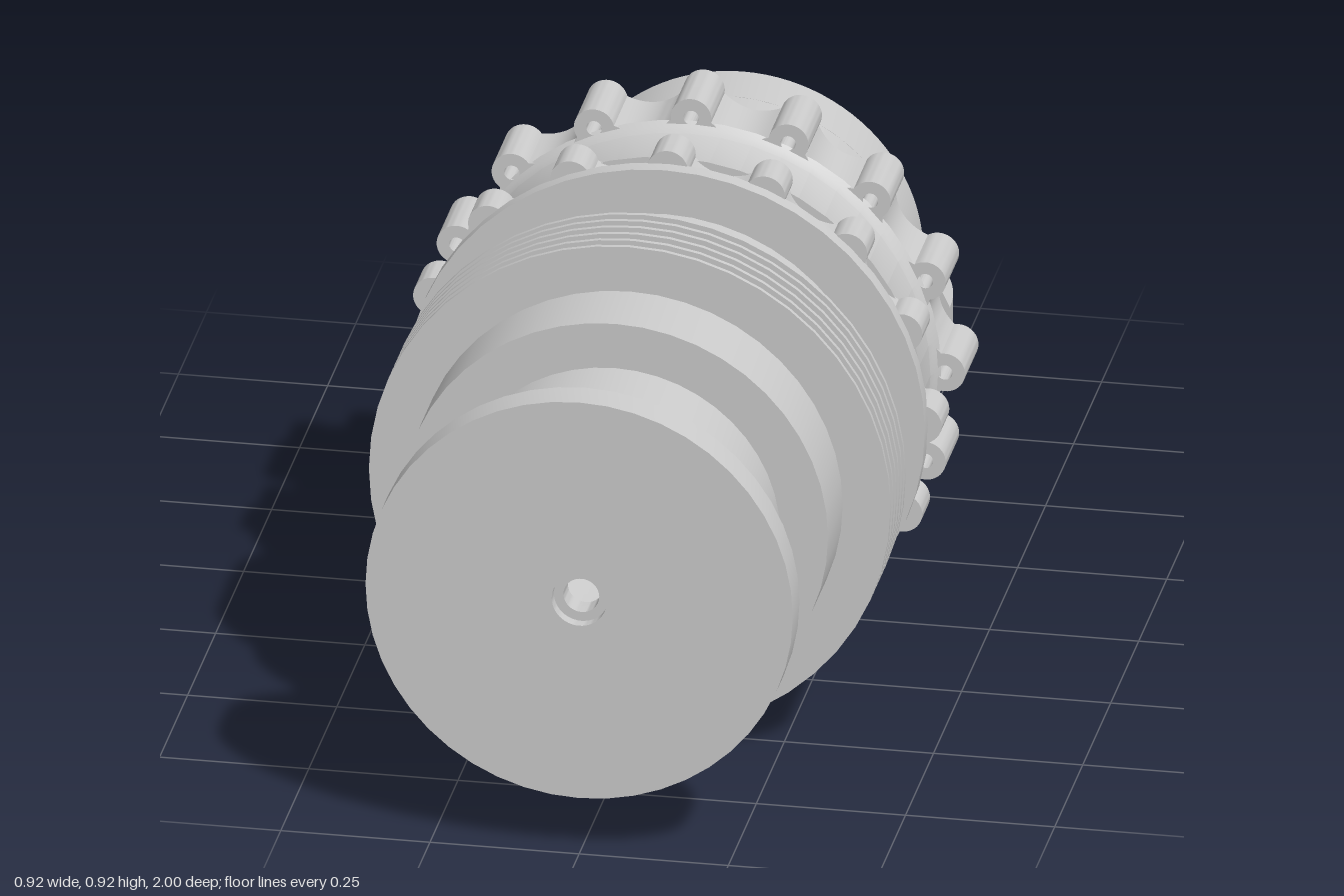
import * as THREE from 'three';
import { toCreasedNormals } from 'three/addons/utils/BufferGeometryUtils.js';

const AXIS_Y = 0.46;   // height of the long axis
const BORE = 0.15;
const R = 0.303;       // clevis radius
const BASE = 0.157;    // underside of the clevis

export function createModel() {
  const model = new THREE.Group();
  model.name = 'linearActuator';
  const material = new THREE.MeshStandardMaterial({ color: 0xcccccc });

  function add(name, geometry, parent = model) {
    const mesh = new THREE.Mesh(toCreasedNormals(geometry, 0.5), material);
    mesh.name = name;
    parent.add(mesh);
    return mesh;
  }

  // Closed ring section as [radius, z], outer wall listed towards +z
  function turned(name, section, parent) {
    const pts = [...section, section[0]].map(([r, z]) => new THREE.Vector2(r, z));
    const geometry = new THREE.LatheGeometry(pts, 48).rotateX(Math.PI / 2);
    geometry.translate(0, AXIS_Y, 0);
    return add(name, geometry, parent);
  }
  const ring = (name, rIn, rOut, z0, z1, parent) =>
    turned(name, [[rIn, z0], [rOut, z0], [rOut, z1], [rIn, z1]], parent);

  function extrude(shape, depth) {
    return new THREE.ExtrudeGeometry(shape, { depth, bevelEnabled: false, curveSegments: 24 });
  }
  function hole(shape, x, y, r) {
    shape.holes.push(new THREE.Path().absarc(x, y, r, 0, Math.PI * 2, true));
  }

  // Front end: drilled cap, neck and main barrel
  turned('endCap', [[0.03, 0.94], [0.358, 0.94], [0.358, 1], [0.046, 1], [0.046, 0.98], [0.03, 0.98]]);
  ring('neck', BORE, 0.277, 0.67, 0.945);
  ring('mainBarrel', BORE, 0.357, 0.2, 0.68);

  // Thin cooling fins
  const fins = new THREE.Group();
  fins.name = 'coolingFins';
  model.add(fins);
  for (let i = 0; i < 6; i++) {
    const z = 0.415 + i * 0.026;
    ring('fin', 0.35, 0.437, z - 0.004, z + 0.004, fins);
  }

  // Collar and grooved sleeve between the two grip rings
  ring('collar', 0.3, 0.436, 0.208, 0.236);
  turned('sleeve', [
    [0.345, -0.09], [0.375, -0.09], [0.375, -0.005], [0.418, -0.005], [0.41, 0.005], [0.404, 0.016],
    [0.404, 0.124], [0.41, 0.135], [0.418, 0.145], [0.345, 0.145],
  ]);
  ring('sleeveFloor', BORE, 0.35, -0.03, 0.21);
  ring('innerSeal', 0.29, 0.328, -0.06, -0.02);

  // Grip ring with sixteen rounded lobes
  function gripRing(name, z0, z1, drilled) {
    const count = 16, step = Math.PI * 2 / count, lobeR = 0.034, pitchR = 0.425;
    const shape = new THREE.Shape();
    const polar = (r, a) => [r * Math.cos(a), r * Math.sin(a)];
    for (let i = 0; i < count; i++) {
      const a = i * step;
      const [cx, cy] = polar(pitchR, a);
      shape.absarc(cx, cy, lobeR, a - 1.75, a + 1.75, false);
      const [vx, vy] = polar(0.386, a + step / 2);
      const [ex, ey] = polar(pitchR, a + step);
      const [ox, oy] = polar(lobeR, a + step - 1.75);
      shape.quadraticCurveTo(vx, vy, ex + ox, ey + oy);
      if (drilled) hole(shape, cx, cy, 0.013);
    }
    hole(shape, 0, 0, 0.37);
    const geometry = new THREE.ExtrudeGeometry(shape, {
      depth: z1 - z0, bevelEnabled: false, curveSegments: 10,
    });
    add(name, geometry.translate(0, AXIS_Y, z0));
  }
  gripRing('frontGripRing', 0.14, 0.21, false);
  gripRing('rearGripRing', -0.12, 0, true);

  // Rear rod with a stepped bore
  turned('rearRod', [
    [0.15, -0.37], [R, -0.37], [R, 0], [0.12, 0], [0.12, -0.06],
    [0.15, -0.06], [0.15, -0.16], [0.175, -0.16], [0.175, -0.26], [0.15, -0.26],
  ]);

  // Arched clevis block
  const arch = new THREE.Shape();
  arch.moveTo(-R, BASE);
  arch.lineTo(R, BASE);
  arch.absarc(0, AXIS_Y, R, 0, Math.PI, false);
  arch.closePath();
  hole(arch, 0, AXIS_Y, BORE);
  add('clevisBlock', extrude(arch, 0.1).translate(0, 0, -0.46));

  // Mounting eye, drawn with shape y pointing to the back
  const eye = new THREE.Shape();
  eye.moveTo(-R, 0.455);
  eye.lineTo(R, 0.455);
  eye.absarc(0, 1 - R, R, 0, Math.PI, false);
  eye.closePath();
  hole(eye, 0, 0.698, 0.145);
  add('mountingEye', extrude(eye, 0.256 - BASE).rotateX(-Math.PI / 2).translate(0, BASE, 0));

  // Sloping gussets on both sides
  const gusset = new THREE.Shape([[0.455, 0.25], [0.695, 0.25], [0.695, 0.256], [0.46, 0.46], [0.455, 0.46]]
    .map(([u, y]) => new THREE.Vector2(u, y)));
  const width = 0.073;
  for (const [name, x] of [['leftGusset', R - width], ['rightGusset', -R]]) {
    add(name, extrude(gusset, width).rotateY(Math.PI / 2).translate(x, 0, 0));
  }

  return model;
}
